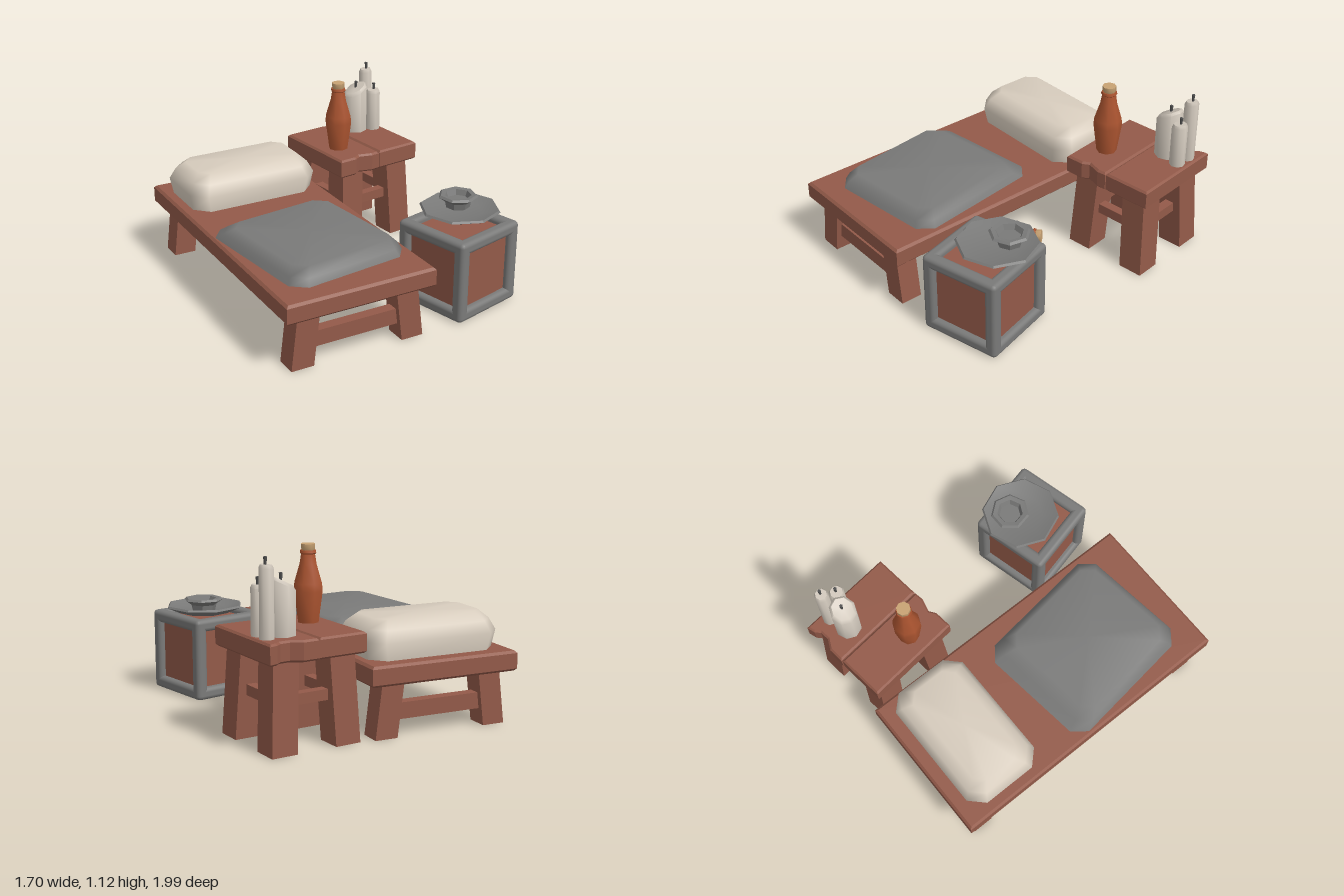
import * as THREE from 'three';
import { toCreasedNormals } from 'three/addons/utils/BufferGeometryUtils.js';
import { RoundedBoxGeometry } from 'three/addons/geometries/RoundedBoxGeometry.js';

const mat = (name, color) => {
  const m = new THREE.MeshStandardMaterial({ color });
  m.name = name;
  return m;
};

export function createModel() {
  const wood = mat('wood', 0x935a49);
  const grey = mat('grey', 0x7a7a79);
  const linen = mat('linen', 0xd8cdbe);
  const clay = mat('clay', 0xab5430);
  const cork = mat('cork', 0xc8a273);
  const wax = mat('wax', 0xcfc6ba);
  const wick = mat('wick', 0x505050);

  const group = (parent, name, x = 0, y = 0, z = 0, turn = 0) => {
    const g = new THREE.Group();
    g.name = name;
    g.position.set(x, y, z);
    g.rotation.y = turn;
    parent.add(g);
    return g;
  };
  const add = (parent, name, geo, material, x = 0, y = 0, z = 0) => {
    const m = new THREE.Mesh(geo, material);
    m.name = name;
    m.position.set(x, y, z);
    parent.add(m);
    return m;
  };

  // Bevelled board from an outline of [x, z] points
  const board = (outline, height, b) => {
    const shape = new THREE.Shape(outline.map(([x, z]) => new THREE.Vector2(x, -z)));
    const geo = new THREE.ExtrudeGeometry(shape, {
      depth: height - 2 * b, bevelThickness: b, bevelSize: b, bevelOffset: -b, bevelSegments: 1,
    });
    return geo.translate(0, 0, b).rotateX(-Math.PI / 2);
  };

  // Square leg whose top is shifted sideways
  const leg = (w, h, d, dx, dz) => {
    const geo = new THREE.BoxGeometry(w, h, d).translate(0, h / 2, 0);
    const p = geo.attributes.position;
    for (let i = 0; i < p.count; i++) {
      const t = p.getY(i) / h;
      p.setX(i, p.getX(i) + dx * t);
      p.setZ(i, p.getZ(i) + dz * t);
    }
    geo.computeVertexNormals();
    return geo;
  };

  // Soft cushion from chamfered rectangles: [y, halfX, halfZ, chamfer, shiftZ]
  const cushion = (rings) => {
    const pos = [], idx = [];
    for (const [y, a, b, c, s] of rings) {
      const corners = [[a, b - c], [a - c, b], [c - a, b], [-a, b - c], [-a, c - b], [c - a, -b], [a - c, -b], [a, c - b]];
      for (const [x, z] of corners) pos.push(x, y, z + s);
    }
    const last = (rings.length - 1) * 8;
    const top = rings[rings.length - 1];
    pos.push(0, top[0], top[4]);
    for (let r = 0; r < rings.length; r++) {
      for (let i = 0; i < 8; i++) {
        const a = r * 8 + i, b = r * 8 + (i + 1) % 8;
        if (r * 8 < last) idx.push(a, a + 8, b, b, a + 8, b + 8);
        else idx.push(a, last + 8, b);
      }
    }
    const geo = new THREE.BufferGeometry();
    geo.setAttribute('position', new THREE.Float32BufferAttribute(pos, 3));
    // corners run from +z back round, so flip to face outwards
    for (let i = 0; i < idx.length; i += 3) [idx[i + 1], idx[i + 2]] = [idx[i + 2], idx[i + 1]];
    geo.setIndex(idx);
    geo.computeVertexNormals();
    fixWinding(geo);
    return geo;
  };
  // Make sure the top cap looks up
  const fixWinding = (geo) => {
    const n = geo.attributes.normal;
    if (n.getY(n.count - 1) > 0) return;
    const a = geo.index.array;
    for (let i = 0; i < a.length; i += 3) [a[i + 1], a[i + 2]] = [a[i + 2], a[i + 1]];
    geo.computeVertexNormals();
  };

  const lathe = (points, sides, crease = 0.9) => toCreasedNormals(
    new THREE.LatheGeometry(points.map(([r, y]) => new THREE.Vector2(r, y)), sides), crease);

  const model = new THREE.Group();
  model.name = 'bedsideSet';

  // Bed
  const bed = group(model, 'bed', -0.36, 0, 0.01);
  add(bed, 'bedBoard', board([[-0.49, 0.98], [0.49, 0.98], [0.49, -0.98], [-0.49, -0.98]], 0.125, 0.015), wood, 0, 0.33, 0);
  for (const sz of [-1, 1]) {
    for (const sx of [-1, 1]) {
      add(bed, 'bedLeg', leg(0.145, 0.34, 0.14, -sx * 0.042, 0), wood, sx * 0.367, 0, sz * 0.855);
    }
    add(bed, 'bedStretcher', new THREE.BoxGeometry(0.6, 0.1, 0.07), wood, 0, 0.15, sz * 0.855);
  }

  // Bedding
  add(model, 'pillow', cushion([
    [0.45, 0.425, 0.25, 0.09, 0], [0.56, 0.445, 0.265, 0.09, 0],
    [0.63, 0.41, 0.23, 0.08, 0], [0.682, 0.355, 0.165, 0.06, 0],
  ]), linen, -0.355, 0, -0.625);
  const blanket = add(model, 'blanket', cushion([
    [0.45, 0.415, 0.483, 0.085, 0], [0.5, 0.39, 0.435, 0.08, 0.025], [0.55, 0.345, 0.37, 0.07, 0.04],
  ]), grey, -0.37, 0, 0.33);
  blanket.rotation.y = 0.126;

  // Stool with two chipped planks
  const stool = group(model, 'stool', 0.495, 0, -0.64, 0.12);
  add(stool, 'leftPlank', board([
    [-0.317, 0.317], [-0.195, 0.317], [-0.151, 0.292], [-0.064, 0.322], [-0.004, 0.318], [-0.004, -0.317], [-0.317, -0.317],
  ], 0.125, 0.012), wood, 0, 0.53, 0);
  add(stool, 'rightPlank', board([
    [0.002, 0.317], [0.317, 0.317], [0.317, -0.322], [0.264, -0.31], [0.23, -0.284], [0.17, -0.282], [0.105, -0.322], [0.002, -0.322],
  ], 0.125, 0.012), wood, 0, 0.53, 0);
  for (const sx of [-1, 1]) {
    for (const sz of [-1, 1]) {
      add(stool, 'stoolLeg', leg(0.165, 0.54, 0.165, -sx * 0.027, -sz * 0.027), wood, sx * 0.211, 0, sz * 0.211);
    }
    add(stool, 'sideStretcher', new THREE.BoxGeometry(0.06, 0.065, 0.34), wood, sx * 0.197, 0.297, 0);
    add(stool, 'crossStretcher', new THREE.BoxGeometry(0.34, 0.065, 0.06), wood, 0, 0.297, sx * 0.197);
  }

  // Bottles, one standing and one lying under the bed
  const bottleGeo = lathe([[0, 0], [0.064, 0], [0.09, 0.19], [0.086, 0.235], [0.053, 0.345], [0.043, 0.405],
    [0.051, 0.412], [0.047, 0.428], [0, 0.428]], 8);
  const corkGeo = lathe([[0, 0.42], [0.036, 0.42], [0.044, 0.437], [0.044, 0.465], [0, 0.465]], 8);
  const bottle = (name, x, y, z) => {
    const g = group(model, name, x, y, z);
    add(g, 'bottleBody', bottleGeo, clay);
    add(g, 'bottleCork', corkGeo, cork);
    return g;
  };
  bottle('standingBottle', 0.327, 0.653, -0.527);
  bottle('lyingBottle', -0.155, 0.08, 0.2).quaternion.setFromUnitVectors(
    new THREE.Vector3(0, 1, 0), new THREE.Vector3(0.35, 0.025, -0.28).normalize());

  // Candles: x, z, radius, height, slope of the top
  for (const [x, z, r, h, slope] of [
    [0.61, -0.79, 0.083, 0.31, 0.5], [0.727, -0.848, 0.045, 0.415, 0.1], [0.732, -0.75, 0.05, 0.29, 0.1],
  ]) {
    const candle = group(model, 'candle', x, 0.653, z);
    const geo = lathe([[0, 0], [r, 0], [r, h - 0.02], [r * 0.8, h], [0, h]], 8);
    const p = geo.attributes.position;
    for (let i = 0; i < p.count; i++) {
      if (p.getY(i) > h / 2) p.setY(i, p.getY(i) + slope * p.getX(i));
    }
    geo.computeVertexNormals();
    add(candle, 'candleWax', toCreasedNormals(geo, 0.9), wax);
    add(candle, 'candleWick', new THREE.CylinderGeometry(0.011, 0.007, 0.05, 6), wick, 0.006, h + 0.02, 0);
  }

  // Crate: rounded bars around a wooden core
  const crate = group(model, 'crate', 0.525, 0.265, 0.637, 0.25);
  add(crate, 'cratePanels', new THREE.BoxGeometry(0.45, 0.45, 0.45), wood);
  const o = 0.225;
  for (const a of [-o, o]) {
    for (const b of [-o, o]) {
      add(crate, 'crateBarX', new RoundedBoxGeometry(0.53, 0.08, 0.08, 2, 0.028), grey, 0, a, b);
      add(crate, 'crateBarY', new RoundedBoxGeometry(0.08, 0.53, 0.08, 2, 0.028), grey, a, 0, b);
      add(crate, 'crateBarZ', new RoundedBoxGeometry(0.08, 0.08, 0.53, 2, 0.028), grey, a, b, 0);
    }
  }

  // Plate and bowl on the crate
  add(model, 'plate', lathe([[0, 0], [0.16, 0], [0.255, 0.042], [0.245, 0.054], [0.15, 0.025], [0, 0.025]], 8, 0.5),
    grey, 0.57, 0.535, 0.575);
  add(model, 'bowl', lathe([[0, 0], [0.075, 0], [0.085, 0.045], [0.128, 0.075], [0.115, 0.088], [0.085, 0.084],
    [0.07, 0.05], [0, 0.05]], 7, 0.5), grey, 0.6, 0.556, 0.51);

  return model;
}
